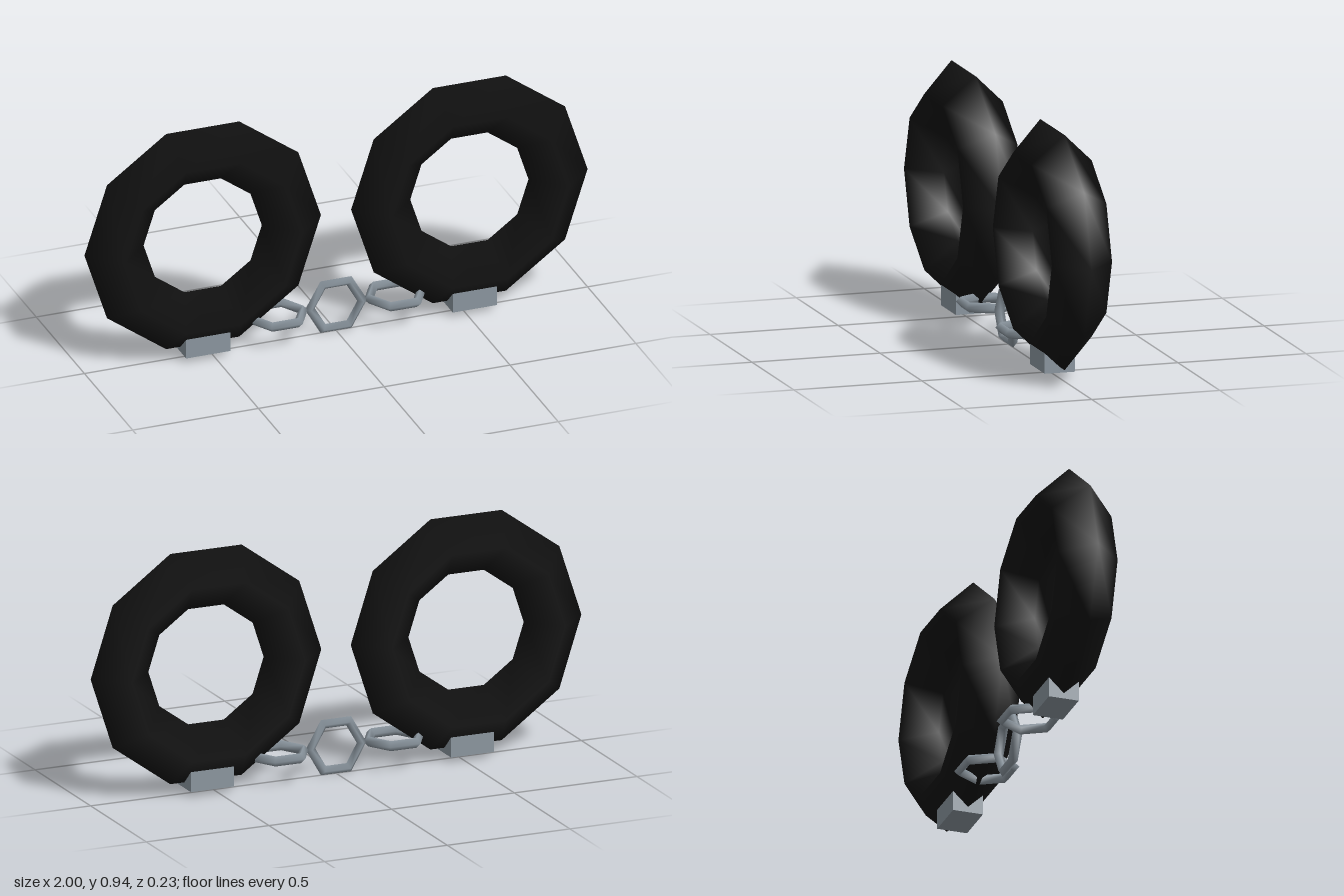
import * as THREE from 'three';

export function createModel() {
  const model = new THREE.Group();
  const black = new THREE.MeshStandardMaterial({ color: 0x111111 });
  black.name = 'black';
  const steel = new THREE.MeshStandardMaterial({ color: 0x8a959e });
  steel.name = 'steel';

  const add = (name, geometry, material, x, y) => {
    const mesh = new THREE.Mesh(geometry, material);
    mesh.name = name;
    mesh.position.set(x, y, 0);
    model.add(mesh);
    return mesh;
  };

  // Smooth-shaded low-poly rings, with one shared chain link shape
  const cuffGeometry = new THREE.TorusGeometry(0.3525, 0.1175, 4, 10);
  const linkGeometry = new THREE.TorusGeometry(0.104, 0.0195, 4, 6);
  const lockGeometry = new THREE.BoxGeometry(0.176, 0.1175, 0.1175);

  for (const [side, s] of [['left', 1], ['right', -1]]) {
    add(side + 'Cuff', cuffGeometry, black, s * 0.53, 0.49);
    // Lock block half sunk into the bottom of the cuff
    add(side + 'Lock', lockGeometry, steel, s * 0.53, 0.08);
    // Flat link running into the cuff
    add(side + 'Link', linkGeometry, steel, s * 0.235, 0.107).rotation.x = Math.PI / 2;
  }

  // Upright link in the middle of the chain
  add('middleLink', linkGeometry, steel, 0, 0.107);

  return model;
}
